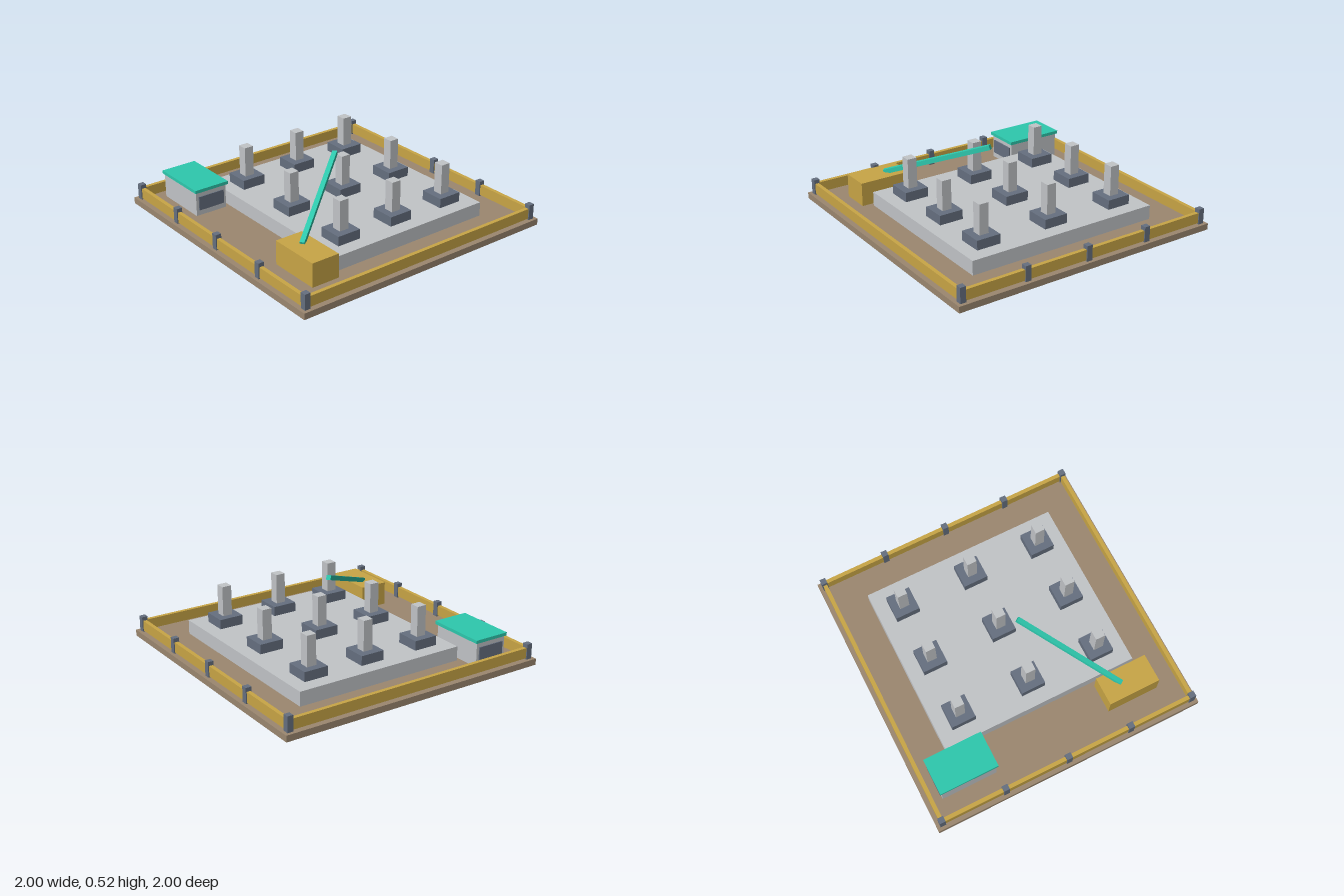
import * as THREE from 'three';

const material = (name, color) => {
  const m = new THREE.MeshStandardMaterial({ color });
  m.name = name;
  return m;
};

export function createModel() {
  const earth = material('earth', 0x9c8870);
  const concrete = material('concrete', 0xc2c5c8);
  const slate = material('slate', 0x667080);
  const ochre = material('ochre', 0xc9a646);
  const teal = material('teal', 0x2ec9ae);

  const site = new THREE.Group();
  site.name = 'constructionSite';

  // Box given by its extents on each axis
  const box = (name, mat, [x0, x1], [y0, y1], [z0, z1], parent = site) => {
    const mesh = new THREE.Mesh(new THREE.BoxGeometry(x1 - x0, y1 - y0, z1 - z0), mat);
    mesh.name = name;
    mesh.position.set((x0 + x1) / 2, (y0 + y1) / 2, (z0 + z1) / 2);
    parent.add(mesh);
    return mesh;
  };
  const around = (c, size) => [c - size / 2, c + size / 2];
  const group = (name) => {
    const g = new THREE.Group();
    g.name = name;
    site.add(g);
    return g;
  };

  // Ground and foundation
  box('ground', earth, [-1, 1], [0, 0.045], [-1, 1]);
  box('foundationSlab', concrete, [-0.72, 0.72], [0.045, 0.147], [-0.72, 0.54]);

  // Grid of footings with columns
  const columns = group('columnGrid');
  for (const x of [-0.53, 0, 0.53]) {
    for (const z of [-0.53, -0.09, 0.35]) {
      box('footing', slate, around(x, 0.176), [0.147, 0.215], around(z, 0.176), columns);
      box('column', concrete, around(x, 0.07), [0.215, 0.43], around(z, 0.07), columns);
    }
  }

  // Perimeter fence: boards on all sides, posts along front and back
  const fence = group('fence');
  const edge = 0.956;
  for (const s of [-1, 1]) {
    box('fenceBoard', ochre, [-edge, edge], [0.053, 0.127], around(s * edge, 0.028), fence);
    box('sideFenceBoard', ochre, around(s * edge, 0.028), [0.053, 0.127], [-edge, edge], fence);
    for (let i = -2; i <= 2; i++) {
      box('fencePost', slate, around((i * edge) / 2, 0.042), [0.045, 0.155], around(s * edge, 0.042), fence);
    }
  }

  // Site office with a flat roof and a window at each end
  const office = group('siteOffice');
  box('officeBody', concrete, [-0.88, -0.475], [0.045, 0.22], [0.57, 0.81], office);
  box('officeRoof', teal, [-0.892, -0.462], [0.22, 0.243], [0.556, 0.82], office);
  for (const x of [-0.884, -0.471]) {
    box('officeWindow', slate, around(x, 0.008), [0.085, 0.185], [0.59, 0.79], office);
  }

  // Crane: base block and a slanted boom
  const crane = group('crane');
  box('craneBase', ochre, [0.41, 0.79], [0.045, 0.215], [0.572, 0.778], crane);
  const foot = new THREE.Vector3(0.55, 0.215, 0.675);
  const tip = new THREE.Vector3(0.075, 0.504, 0.037);
  const boom = new THREE.Mesh(new THREE.BoxGeometry(0.033, 0.033, foot.distanceTo(tip)), teal);
  boom.name = 'craneBoom';
  boom.position.copy(foot).lerp(tip, 0.5);
  boom.lookAt(tip);
  crane.add(boom);

  return site;
}
